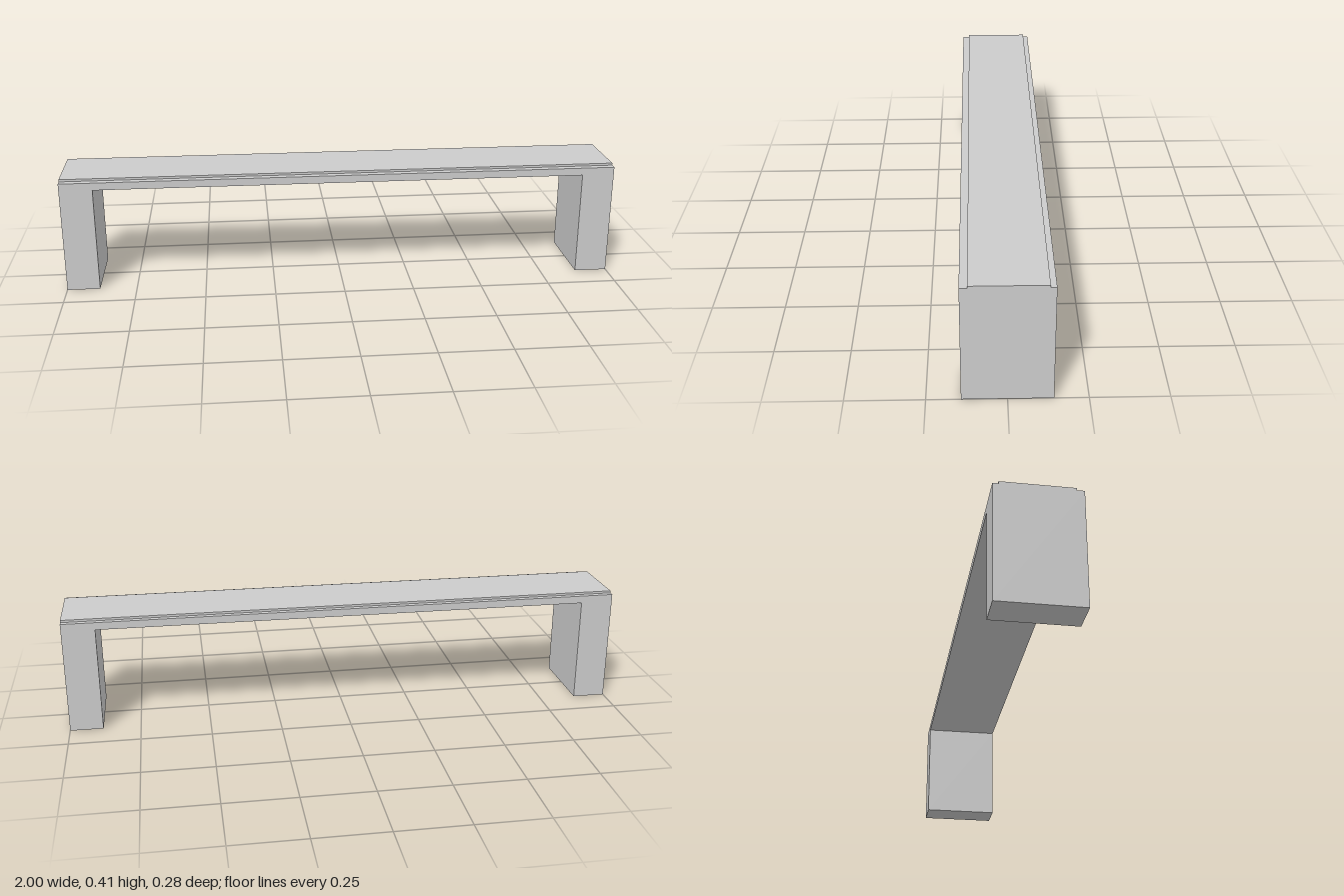
import * as THREE from 'three';

const HALF = 1, INNER = 0.883, TOP = 0.405, UNDER = 0.378, DEPTH = 0.285;

export function createModel() {
  const model = new THREE.Group();
  model.name = 'bench';
  const material = new THREE.MeshStandardMaterial({ color: 0xcccccc, flatShading: true });

  // Two slab legs and the thin span between them, as one bridge-shaped profile
  const profile = new THREE.Shape([
    [-HALF, 0], [-INNER, 0], [-INNER, UNDER], [INNER, UNDER],
    [INNER, 0], [HALF, 0], [HALF, TOP], [-HALF, TOP],
  ].map(([x, y]) => new THREE.Vector2(x, y)));
  const frameGeometry = new THREE.ExtrudeGeometry(profile, { depth: DEPTH, bevelEnabled: false });
  frameGeometry.translate(0, 0, -DEPTH / 2);
  const frame = new THREE.Mesh(frameGeometry, material);
  frame.name = 'frame';
  model.add(frame);

  // Thin raised top panel, stepped in from the long edges
  const panel = new THREE.Mesh(new THREE.BoxGeometry(2 * HALF, 0.008, 0.241), material);
  panel.name = 'topPanel';
  panel.position.set(0, TOP + 0.004, -0.003);
  model.add(panel);

  return model;
}
